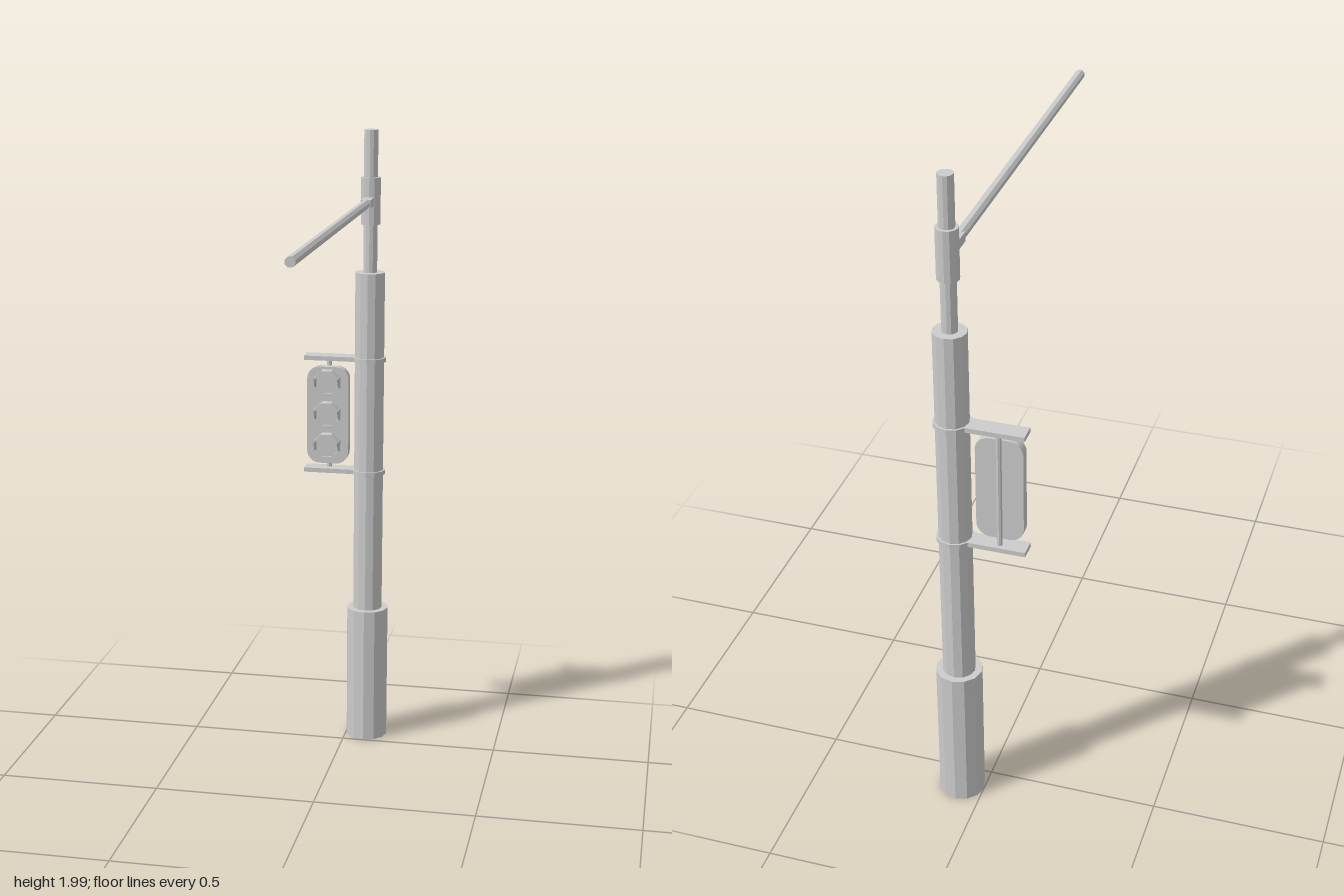
import * as THREE from 'three';

const POLE_X = 0.067, POLE_Z = -0.57;
const LAMP_X = -0.063, LAMP_FRONT = -0.549;

export function createModel() {
  const model = new THREE.Group();
  model.name = 'trafficLightPole';
  const solid = new THREE.MeshStandardMaterial({ color: 0xcccccc, flatShading: true });
  const thin = new THREE.MeshStandardMaterial({ color: 0xcccccc, flatShading: true, side: THREE.DoubleSide });

  function add(name, geometry, x, y, z, material = solid) {
    const mesh = new THREE.Mesh(geometry, material);
    mesh.name = name;
    mesh.position.set(x, y, z);
    model.add(mesh);
    return mesh;
  }

  // Upright round section on the pole axis, from y0 to y1
  function poleSection(name, r, y0, y1, sides = 12) {
    add(name, new THREE.CylinderGeometry(r, r, y1 - y0, sides), POLE_X, (y0 + y1) / 2, POLE_Z);
  }

  // Hollow foot, open underneath
  const foot = [[0.067, 0.01], [0.067, 0.455], [0, 0.455]].map(([r, y]) => new THREE.Vector2(r, y));
  add('foot', new THREE.LatheGeometry(foot, 12), POLE_X, 0, POLE_Z, thin);

  poleSection('post', 0.047, 0.455, 1.56);
  poleSection('mast', 0.022, 1.56, 2.0);
  poleSection('armSleeve', 0.031, 1.71, 1.855);

  // Long arm reaching forward
  add('armSocket', new THREE.BoxGeometry(0.03, 0.026, 0.09), POLE_X, 1.783, -0.52);
  const arm = new THREE.CylinderGeometry(0.015, 0.015, 1.12, 8);
  arm.rotateY(Math.PI / 8).rotateX(Math.PI / 2);
  add('arm', arm, POLE_X, 1.783, 0.077);

  // Clamps and plates carrying the signal
  for (const y of [0.915, 1.283]) {
    poleSection('clamp', 0.053, y - 0.007, y + 0.007);
    add('bracketPlate', new THREE.BoxGeometry(0.19, 0.014, 0.052), -0.045, y, -0.573);
  }
  add('mountingRod', new THREE.CylinderGeometry(0.008, 0.008, 0.36, 8), LAMP_X, 1.099, -0.58);

  // Signal housing: rounded plate
  const w = 0.067, h = 0.158, r = 0.04;
  const outline = new THREE.Shape();
  outline.absarc(w - r, h - r, r, 0, Math.PI / 2);
  outline.absarc(r - w, h - r, r, Math.PI / 2, Math.PI);
  outline.absarc(r - w, r - h, r, Math.PI, Math.PI * 1.5);
  outline.absarc(w - r, r - h, r, Math.PI * 1.5, Math.PI * 2);
  const housing = new THREE.ExtrudeGeometry(outline, { depth: 0.028, bevelEnabled: false, curveSegments: 4 });
  add('signalHousing', housing, LAMP_X, 1.098, LAMP_FRONT - 0.028);

  // Octagonal hoods, cut back on the lower half
  const R = 0.041 / Math.cos(Math.PI / 8);
  const profile = [[R, 0], [R, 1], [R - 0.006, 1], [R - 0.006, 0]].map(([x, y]) => new THREE.Vector2(x, y));
  const hood = new THREE.LatheGeometry(profile, 8);
  hood.rotateY(Math.PI / 8).rotateX(Math.PI / 2);
  const p = hood.attributes.position;
  for (let i = 0; i < p.count; i++) {
    p.setZ(i, p.getZ(i) * (p.getY(i) > 0 ? 0.031 : 0.012));
  }
  const lens = new THREE.CylinderGeometry(R - 0.005, R - 0.005, 0.006, 8);
  lens.rotateY(Math.PI / 8).rotateX(Math.PI / 2);
  for (const y of [1.0, 1.103, 1.207]) {
    add('hood', hood, LAMP_X, y, LAMP_FRONT, thin);
    add('lens', lens, LAMP_X, y, LAMP_FRONT + 0.002);
  }
  return model;
}
